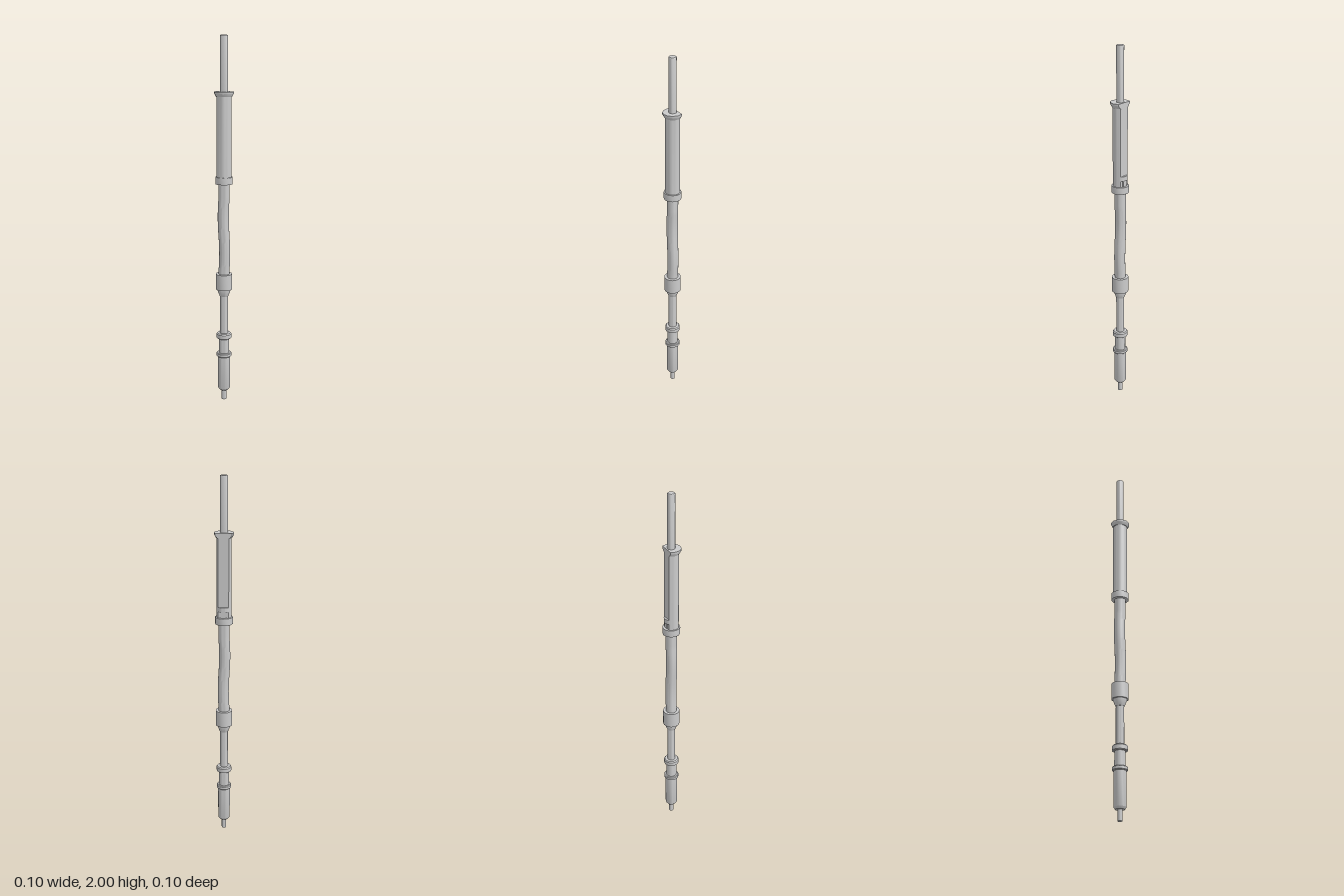
import * as THREE from 'three';
import { toCreasedNormals } from 'three/addons/utils/BufferGeometryUtils.js';
import { ConvexGeometry } from 'three/addons/geometries/ConvexGeometry.js';

const CUT = -0.027; // depth of the flat on the back
const CREASE = 0.62;

export function createModel() {
  const model = new THREE.Group();
  const body = new THREE.Group();
  body.name = 'shaftAssembly';
  body.position.z = -0.003;
  model.add(body);
  const material = new THREE.MeshStandardMaterial({ color: 0xcccccc });

  const add = (name, geometry) => {
    const mesh = new THREE.Mesh(toCreasedNormals(geometry, CREASE), material);
    mesh.name = name;
    body.add(mesh);
    return mesh;
  };
  // Closed turned part from [radius, height] pairs, bottom to top
  const turned = (name, profile, sides = 24) => {
    const closed = [[0, profile[0][1]], ...profile, [0, profile[profile.length - 1][1]]];
    return add(name, new THREE.LatheGeometry(closed.map(([r, y]) => new THREE.Vector2(r, y)), sides));
  };
  // Ring of points with the back sliced off flat
  const cutRing = (r, y, sides) => {
    const points = [];
    const at = i => new THREE.Vector3(r * Math.sin(i * 2 * Math.PI / sides), y, r * Math.cos(i * 2 * Math.PI / sides));
    for (let i = 0; i < sides; i++) {
      const a = at(i), b = at(i + 1);
      if (a.z >= CUT) points.push(a);
      if ((a.z - CUT) * (b.z - CUT) < 0) points.push(a.clone().lerp(b, (CUT - a.z) / (b.z - a.z)));
    }
    return points;
  };
  const cutPart = (name, profile, sides) =>
    add(name, new ConvexGeometry(profile.flatMap(([r, y]) => cutRing(r, y, sides))));

  // Lower end
  turned('tip', [[0.013, 0], [0.013, 0.07]], 16);
  turned('lowerBarrel', [[0.025, 0.058], [0.033, 0.07], [0.033, 0.26], [0.029, 0.26], [0.029, 0.37]]);
  turned('lowerRing', [[0.037, 0.254], [0.041, 0.258], [0.041, 0.272], [0.037, 0.276]]);
  turned('upperRing', [[0.036, 0.358], [0.041, 0.362], [0.041, 0.384], [0.036, 0.39]]);
  turned('neck', [[0.022, 0.38], [0.022, 0.62]]);
  turned('socket', [[0.023, 0.6], [0.036, 0.632], [0.036, 0.64], [0.045, 0.64], [0.045, 0.726]]);

  // Grip tube, swaying gently sideways
  const grip = new THREE.CylinderGeometry(0.03, 0.03, 0.51, 24, 40);
  grip.translate(0, 0.975, 0);
  const p = grip.attributes.position;
  for (let i = 0; i < p.count; i++) {
    const t = (p.getY(i) - 0.94) / 0.2;
    if (Math.abs(t) < 1) p.setX(i, p.getX(i) - 0.004 * Math.sin(Math.PI * t));
  }
  add('grip', grip);

  // Upper barrel with a flat back
  turned('collar', [[0.047, 1.222], [0.047, 1.26]], 12);
  cutPart('upperBarrel', [[0.039, 1.25], [0.039, 1.69]], 24);
  cutPart('flange', [[0.043, 1.684], [0.052, 1.7], [0.052, 1.71]], 12);

  // Rounded lug on the flat, just above the collar
  const lugShape = new THREE.Shape();
  const half = Math.acos(-CUT / 0.039);
  lugShape.absarc(0, 0, 0.039, Math.PI / 2 - half, Math.PI / 2 + half, false);
  lugShape.closePath();
  const lug = new THREE.ExtrudeGeometry(lugShape, { depth: 0.025, bevelEnabled: false, curveSegments: 8 });
  lug.rotateX(-Math.PI / 2);
  add('lug', lug).position.y = 1.293;
  add('lugStem', new THREE.BoxGeometry(0.024, 0.045, 0.012)).position.set(0, 1.275, -0.027);

  // Top rod with a tiny edge chamfer
  turned('rod', [[0.02, 1.69], [0.02, 1.997], [0.018, 2]]);
  return model;
}
